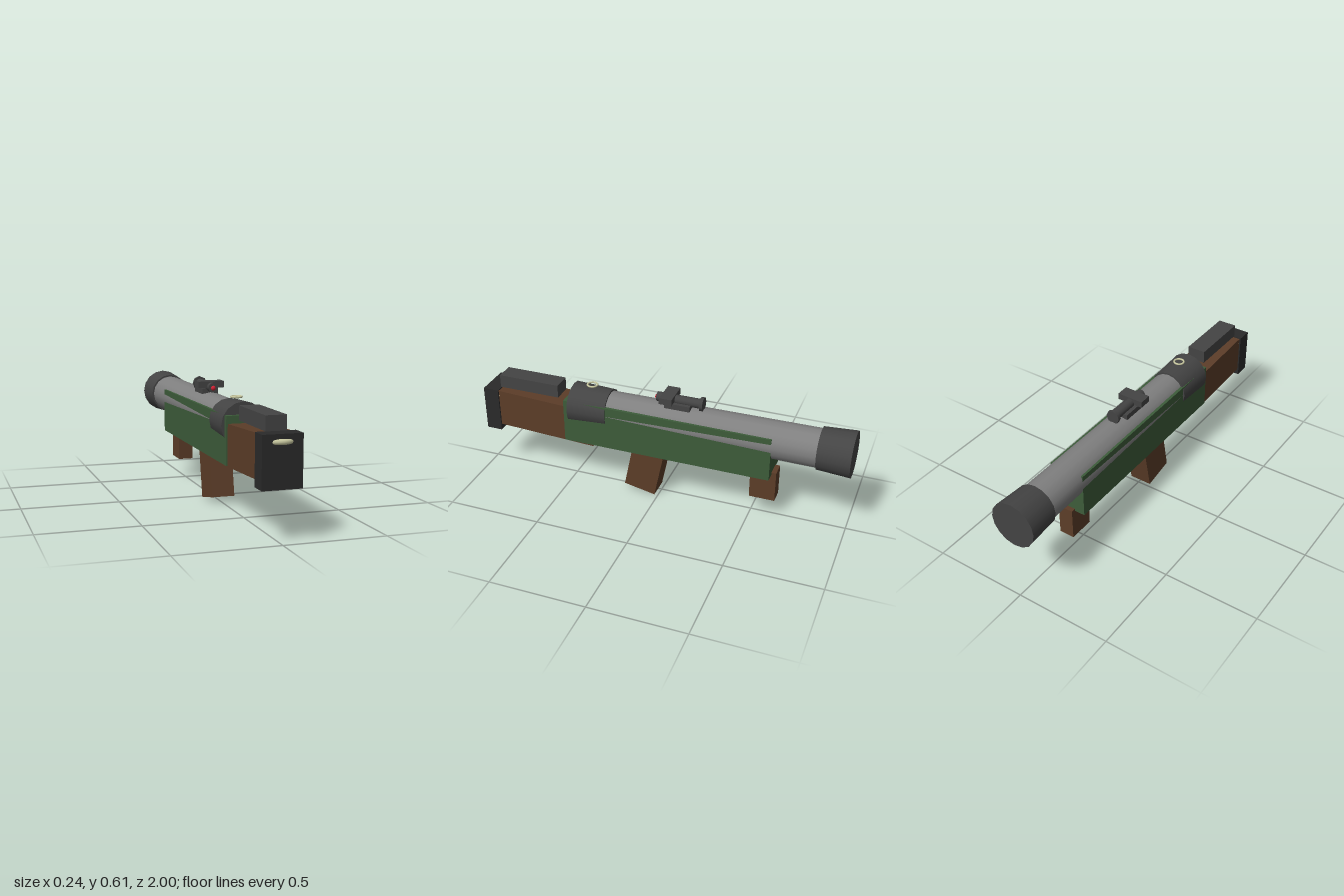
import * as THREE from 'three';

const mat = (color) => new THREE.MeshStandardMaterial({ color });

export function createModel() {
  const model = new THREE.Group();
  const steel = mat(0x808080), dark = mat(0x444444), black = mat(0x2a2a2a);
  const green = mat(0x3d5c3a), wood = mat(0x5c3d28), brass = mat(0xc8c8a0), red = mat(0xcc2233);

  const add = (name, geometry, material, x, y, z, tilt = 0) => {
    const mesh = new THREE.Mesh(geometry, material);
    mesh.name = name;
    mesh.position.set(x, y, z);
    mesh.rotation.x = tilt;
    model.add(mesh);
    return mesh;
  };

  // Box given by half width and its y and z ranges
  const block = (name, material, halfX, y0, y1, z0, z1) =>
    add(name, new THREE.BoxGeometry(halfX * 2, y1 - y0, z1 - z0), material, 0, (y0 + y1) / 2, (z0 + z1) / 2);

  // Round part along z, tapering from the back radius to the front radius
  const round = (name, material, rBack, rFront, y, zBack, zFront, sides = 16) =>
    add(name, new THREE.CylinderGeometry(rFront, rBack, zFront - zBack, sides), material,
      0, y, (zBack + zFront) / 2, Math.PI / 2);

  // Tube with its flared end and collar
  round('tube', steel, 0.101, 0.0945, 0.45, -0.9, 0.4);
  round('flaredEnd', dark, 0.12, 0.11, 0.45, -1, -0.83);
  round('collar', dark, 0.104, 0.112, 0.45, 0.28, 0.49);

  // Housing around the lower half of the tube
  block('housing', green, 0.095, 0.262, 0.5, -0.605, 0.515);

  // Stock, butt plate and cheek rest
  add('stock', new THREE.BoxGeometry(0.175, 0.205, 0.56), wood, 0, 0.365, 0.63, -0.046);
  block('buttPlate', black, 0.095, 0.242, 0.485, 0.9, 0.985);
  block('cheekRest', dark, 0.05, 0.485, 0.555, 0.565, 0.905);

  // Sling loop through the butt plate and small ring above the collar
  add('slingLoop', new THREE.TorusGeometry(0.077, 0.013, 8, 24), brass, 0, 0.45, 0.91, Math.PI / 2);
  add('sightRing', new THREE.TorusGeometry(0.026, 0.005, 8, 20), brass, 0, 0.572, 0.385, Math.PI / 2);

  // Grips and trigger
  add('mainGrip', new THREE.BoxGeometry(0.12, 0.3, 0.173), wood, 0, 0.165, 0.075, -0.2);
  block('supportGrip', wood, 0.04, 0.107, 0.275, -0.63, -0.495);
  block('trigger', black, 0.01, 0.2, 0.27, -0.03, -0.012);

  // Scope
  block('scopeMount', dark, 0.043, 0.538, 0.567, -0.165, -0.028);
  block('scopeCrossbar', dark, 0.07, 0.572, 0.605, -0.077, -0.01);
  round('scopeBody', dark, 0.025, 0.025, 0.575, -0.215, 0.022, 12);
  round('scopeEyepiece', dark, 0.037, 0.037, 0.575, -0.227, -0.21, 8);
  add('scopeLens', new THREE.SphereGeometry(0.013, 12, 8), red, 0, 0.573, 0.022);

  return model;
}
